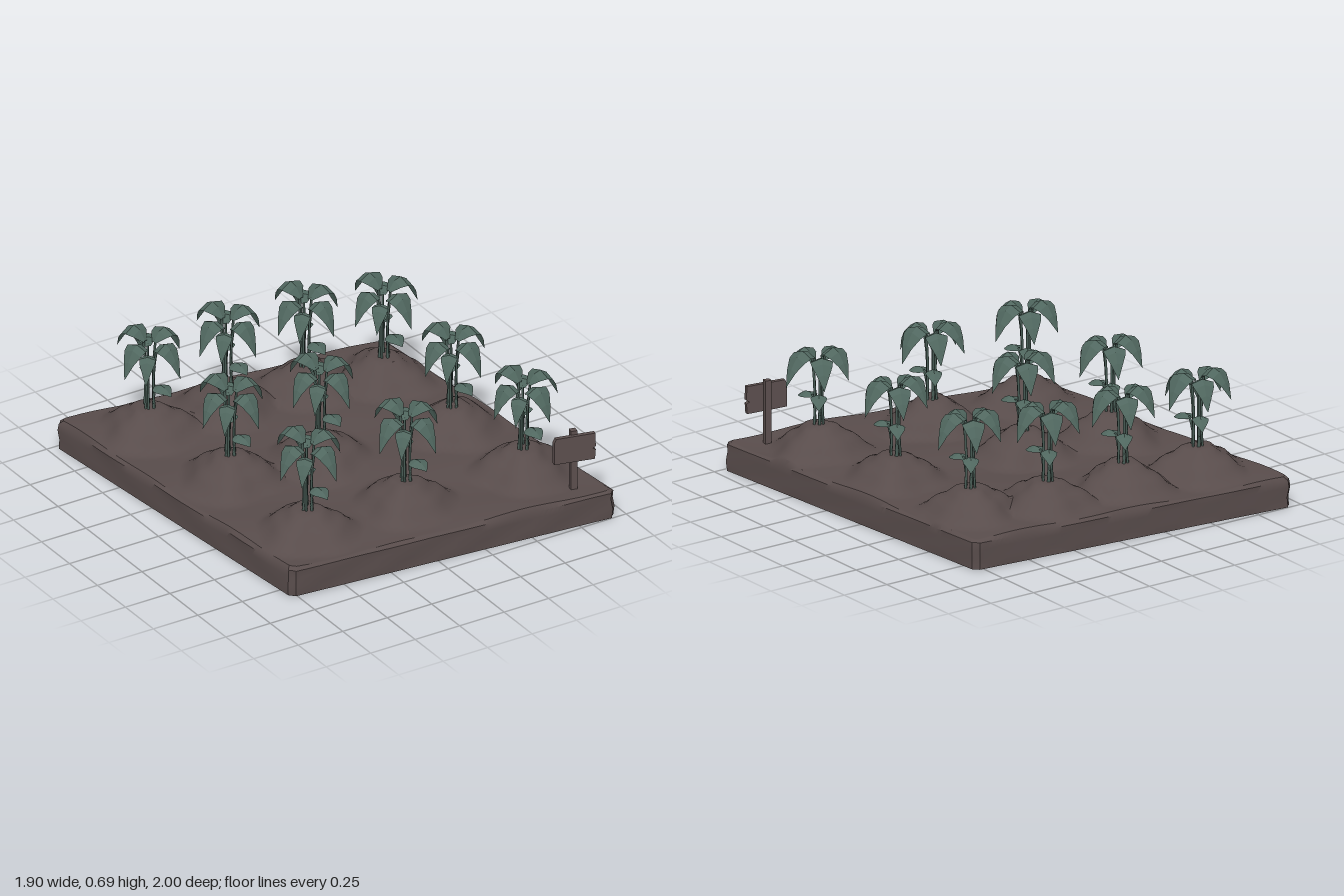
import * as THREE from 'three';
import { mergeVertices, toCreasedNormals } from 'three/addons/utils/BufferGeometryUtils.js';

const mat = (name, color, extra = {}) => {
  const m = new THREE.MeshStandardMaterial({ color, ...extra });
  m.name = name;
  return m;
};

// Plant positions on the bed: [x, z, turn]
const PLANTS = [
  [-0.63, -0.67, 0.08], [-0.2, -0.66, 0], [0.22, -0.63, 0], [0.58, -0.5, -0.05],
  [-0.56, -0.06, 0], [-0.09, 0, 0], [0.6, 0.08, 0],
  [-0.52, 0.57, 0], [0.02, 0.59, 0.04], [0.66, 0.62, -0.08],
];

// Mound height by distance from its centre
const MOUND = [[0, 0.135], [0.075, 0.132], [0.115, 0.095], [0.165, 0.072], [0.205, 0.03], [0.25, 0]];
function moundHeight(d) {
  for (let i = 1; i < MOUND.length; i++) {
    const [d0, h0] = MOUND[i - 1], [d1, h1] = MOUND[i];
    if (d < d1) return THREE.MathUtils.lerp(h0, h1, (d - d0) / (d1 - d0));
  }
  return 0;
}

function groundHeight(x, z) {
  let h = 0;
  PLANTS.forEach(([px, pz], i) => {
    const a = Math.atan2(z - pz, x - px);
    const wobble = 1 + 0.07 * Math.sin(3 * a + i * 1.7) + 0.04 * Math.sin(5 * a + i);
    h = Math.max(h, moundHeight(Math.hypot(x - px, z - pz) / wobble));
  });
  return 0.15 + h + 0.006 * Math.sin(x * 9 + z * 4) + 0.005 * Math.sin(z * 11 - x * 5);
}

// Skewed slab with rounded, uneven edges and raised mounds
function soilGeometry() {
  const g = new THREE.BoxGeometry(2, 1, 2, 72, 4, 72);
  const p = g.attributes.position;
  const levels = [0, 0.05, 0.1, 0.135];
  for (let i = 0; i < p.count; i++) {
    let a = p.getX(i), b = p.getZ(i);
    const level = Math.round((p.getY(i) + 0.5) * 4);
    const rim = Math.max(Math.abs(a), Math.abs(b)) > 0.999;
    if (Math.abs(a) > 0.999 && Math.abs(b) > 0.999) { a *= 0.983; b *= 0.983; }
    if (rim && level === 4) { a *= 0.983; b *= 0.983; }
    if (rim && level > 0 && level < 4) {
      const k = 1 + 0.005 * Math.sin(a * 13 + level) * Math.cos(b * 11 + level * 2);
      a *= k; b *= k;
    }
    const u = (a + 1) / 2, v = (b + 1) / 2;
    const mix = (p00, p10, p01, p11) => (1 - v) * ((1 - u) * p00 + u * p10) + v * ((1 - u) * p01 + u * p11);
    const x = mix(-0.95, 0.795, -0.78, 0.945), z = mix(-1, -0.84, 0.84, 1);
    const y = level === 4 ? groundHeight(x, z) : levels[level];
    p.setXYZ(i, x, y, z);
  }
  g.deleteAttribute('uv');
  g.deleteAttribute('normal');
  return toCreasedNormals(mergeVertices(g, 1e-5), 0.7);
}

// Leaf blade along a bent midrib in the +x direction, points are [reach, height]
function leafGeometry(base, bend, tip, halfWidth) {
  const rib = new THREE.QuadraticBezierCurve(...[base, bend, tip].map(q => new THREE.Vector2(...q)));
  const g = new THREE.PlaneGeometry(1, 2, 5, 2);
  const p = g.attributes.position;
  for (let i = 0; i < p.count; i++) {
    const s = p.getX(i) + 0.5, t = p.getY(i);
    const q = rib.getPoint(s);
    const w = halfWidth * Math.sin(Math.PI * Math.pow(0.04 + 0.96 * s, 0.85));
    p.setXYZ(i, q.x, q.y - Math.abs(t) * w * 0.35, -t * w);
  }
  g.computeVertexNormals();
  return g;
}

function stemGeometry(base, angle) {
  const curve = new THREE.QuadraticBezierCurve3(
    new THREE.Vector3(0.03, 0.27, 0),
    new THREE.Vector3(0.012, 0.27 + (base[1] - 0.27) * 0.55, 0.008 * Math.sin(angle * 5)),
    new THREE.Vector3(base[0] + 0.012, base[1] + 0.008, 0));
  return new THREE.TubeGeometry(curve, 4, 0.0065, 5);
}

// Leaves: tip direction [dx, dz], base, bend, tip, half width
const LEAVES = [
  [[0.2, -0.03], [0.03, 0.62], [0.12, 0.77], [0.205, 0.51], 0.064],
  [[0.05, 0.17], [0.03, 0.59], [0.11, 0.75], [0.185, 0.49], 0.062],
  [[-0.05, -0.18], [0.025, 0.63], [0.11, 0.79], [0.195, 0.55], 0.066],
  [[-0.17, 0.04], [0.03, 0.6], [0.11, 0.75], [0.185, 0.5], 0.058],
  [[0.06, -0.15], [0.02, 0.6], [0.09, 0.72], [0.16, 0.5], 0.055],
  [[-0.1, 0.1], [0.02, 0.56], [0.07, 0.64], [0.12, 0.45], 0.04],
  [[0.02, 0.15], [0.04, 0.41], [0.09, 0.45], [0.15, 0.39], 0.05],
  [[0.08, -0.13], [0.04, 0.44], [0.1, 0.49], [0.16, 0.4], 0.04],
];

export function createModel() {
  const model = new THREE.Group();
  const soil = mat('soil brown', 0x584c4b);
  const wood = mat('sign wood', 0x5c4f4e);
  const leafGreen = mat('leaf green', 0x50675f, { side: THREE.DoubleSide, flatShading: true });
  const stemGreen = mat('stem green', 0x485c55);
  const add = (parent, name, geometry, material) => {
    const m = new THREE.Mesh(geometry, material);
    m.name = name;
    parent.add(m);
    return m;
  };

  add(model, 'soilBed', soilGeometry(), soil);

  // Plants share their leaf and stem shapes
  const parts = LEAVES.map(([[dx, dz], base, bend, tip, w]) => {
    const angle = Math.atan2(-dz, dx);
    return { angle, leaf: leafGeometry(base, bend, tip, w), stem: stemGeometry(base, angle) };
  });
  PLANTS.forEach(([x, z, turn]) => {
    const plant = new THREE.Group();
    plant.name = 'plant';
    plant.position.set(x, 0, z);
    plant.rotation.y = turn;
    for (const { angle, leaf, stem } of parts) {
      add(plant, 'leaf', leaf, leafGreen).rotation.y = angle;
      add(plant, 'stem', stem, stemGreen).rotation.y = angle;
    }
    model.add(plant);
  });

  // Signpost: post behind a chipped board
  const sign = new THREE.Group();
  sign.name = 'signpost';
  sign.position.set(0.785, 0, 0.87);
  sign.rotation.y = -0.19;
  add(sign, 'signPost', new THREE.BoxGeometry(0.032, 0.33, 0.03), wood).position.set(0, 0.295, -0.004);
  const outline = [[-0.108, 0.305], [0.1, 0.298], [0.104, 0.35], [0.088, 0.357], [0.104, 0.367],
    [0.102, 0.437], [-0.098, 0.442], [-0.108, 0.42]];
  const board = new THREE.Shape(outline.map(q => new THREE.Vector2(...q)));
  add(sign, 'signBoard', new THREE.ExtrudeGeometry(board, { depth: 0.022, bevelEnabled: false }), wood)
    .position.z = 0.006;
  model.add(sign);

  return model;
}
